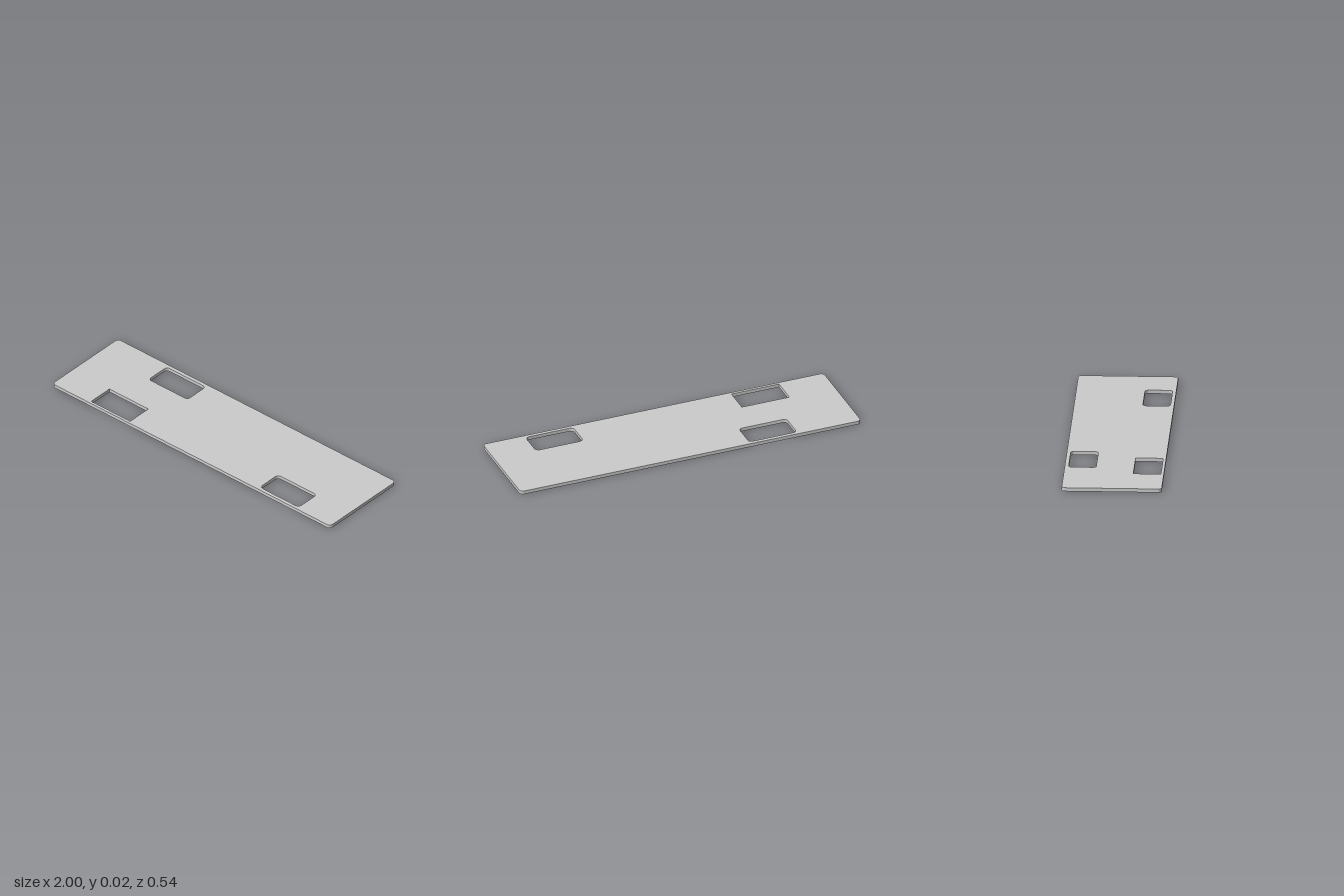
import * as THREE from 'three';
import { toCreasedNormals } from 'three/addons/utils/BufferGeometryUtils.js';

const THICKNESS = 0.02;

// Rectangle outline with optional rounded corners, drawn in x and z
function roundedRect(path, x0, z0, x1, z1, r) {
  if (r === 0) {
    path.moveTo(x0, z0).lineTo(x1, z0).lineTo(x1, z1).lineTo(x0, z1).closePath();
    return path;
  }
  path.moveTo(x0 + r, z0);
  path.absarc(x1 - r, z0 + r, r, -Math.PI / 2, 0);
  path.absarc(x1 - r, z1 - r, r, 0, Math.PI / 2);
  path.absarc(x0 + r, z1 - r, r, Math.PI / 2, Math.PI);
  path.absarc(x0 + r, z0 + r, r, Math.PI, Math.PI * 1.5);
  path.closePath();
  return path;
}

export function createModel() {
  const group = new THREE.Group();
  group.name = 'mountingPlate';

  // Plate outline
  const outline = roundedRect(new THREE.Shape(), -1, -0.272, 1, 0.272, 0.021);

  // Cutouts: x0, z0, x1, z1, corner radius
  const cutouts = [
    [-0.63, -0.251, -0.35, -0.101, 0.02],  // back
    [-0.733, 0.106, -0.453, 0.256, 0],     // front right, square corners
    [0.477, 0.102, 0.757, 0.252, 0.024],   // front left
  ];
  for (const c of cutouts) outline.holes.push(roundedRect(new THREE.Path(), ...c));

  // Lay the extrusion flat on the ground
  const geometry = new THREE.ExtrudeGeometry(outline, {
    depth: THICKNESS, bevelEnabled: false, curveSegments: 10,
  });
  geometry.rotateX(Math.PI / 2).translate(0, THICKNESS, 0);

  const plate = new THREE.Mesh(
    toCreasedNormals(geometry, Math.PI / 6),
    new THREE.MeshStandardMaterial({ color: 0xcccccc }),
  );
  plate.name = 'plate';
  group.add(plate);
  return group;
}
